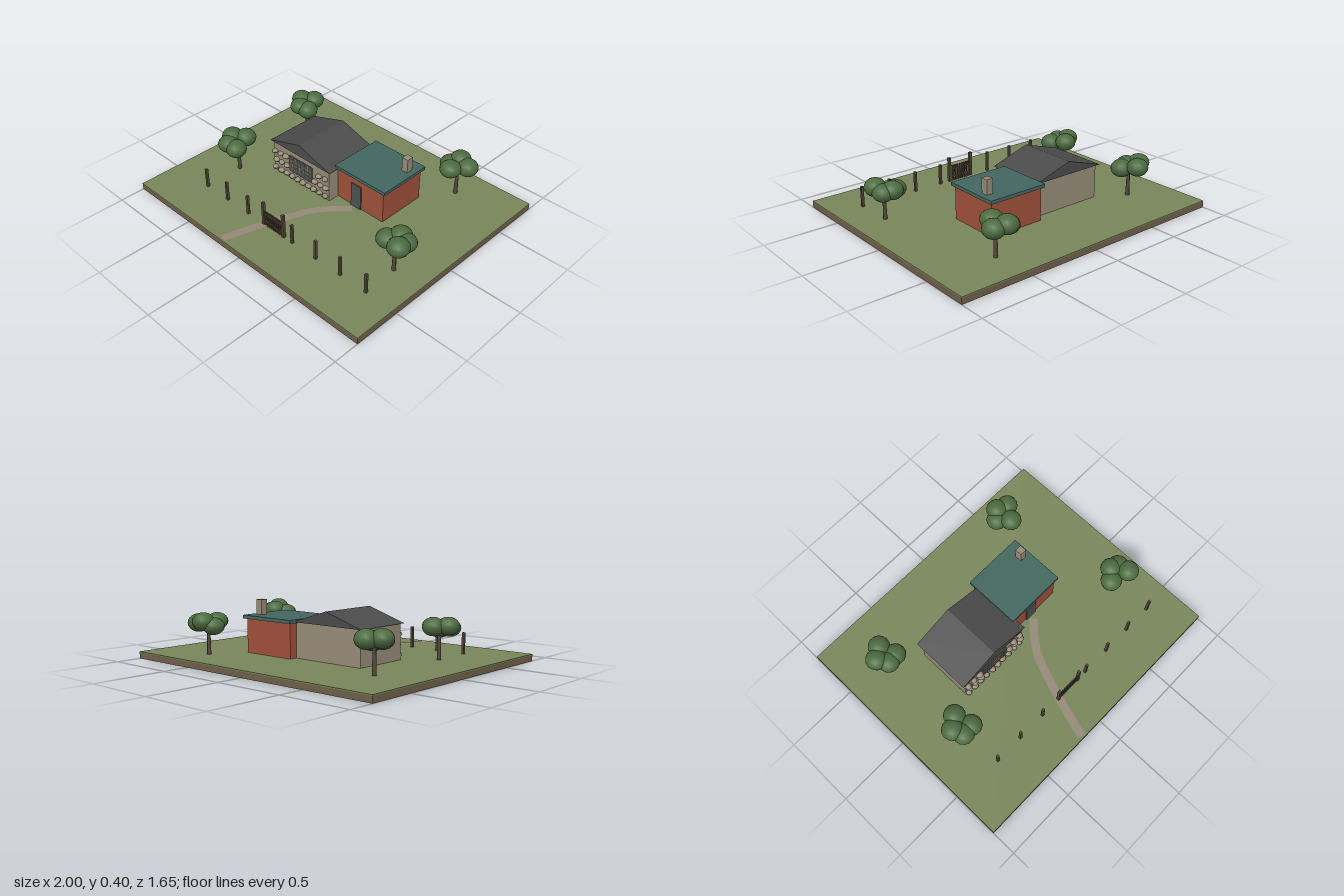
import * as THREE from 'three';

const mat = (name, color) => {
  const m = new THREE.MeshStandardMaterial({ color });
  m.name = name;
  return m;
};

export function createModel() {
  const grass = mat('grass', 0x78865a), soil = mat('soil', 0x6f5f4a);
  const stone = mat('stone', 0x968b78), slate = mat('slate', 0x4b4b4b);
  const brick = mat('brick', 0xa0503a), teal = mat('teal roof', 0x436660);
  const gravel = mat('gravel', 0x958878), leaf = mat('leaf', 0x4c6b40);
  const wood = mat('wood', 0x54473a), dark = mat('dark panel', 0x4a5252);

  const model = new THREE.Group();
  const G = 0.047; // ground level
  const group = (name) => {
    const g = new THREE.Group();
    g.name = name;
    model.add(g);
    return g;
  };
  const add = (name, geo, material, parent = model) => {
    const m = new THREE.Mesh(geo, material);
    m.name = name;
    parent.add(m);
    return m;
  };
  // box given by its min and max on each axis
  const box = (name, material, x0, x1, y0, y1, z0, z1, parent) => {
    const m = add(name, new THREE.BoxGeometry(x1 - x0, y1 - y0, z1 - z0), material, parent);
    m.position.set((x0 + x1) / 2, (y0 + y1) / 2, (z0 + z1) / 2);
    return m;
  };
  let seed = 7;
  const rand = () => (seed = (seed * 16807) % 2147483647) / 2147483647;

  // Ground slab with a grass layer
  box('groundBase', soil, -1, 1, 0, 0.04, -0.826, 0.826);
  box('lawn', grass, -1, 1, 0.04, G, -0.826, 0.826);

  // Winding path as a flat ribbon
  const curve = new THREE.CatmullRomCurve3([
    [0.205, 0.03], [0.11, 0.125], [0.03, 0.24], [-0.06, 0.46], [-0.17, 0.81],
  ].map(([x, z]) => new THREE.Vector3(x, G + 0.003, z)));
  const pos = [], idx = [];
  const steps = 24;
  for (let i = 0; i <= steps; i++) {
    const p = curve.getPoint(i / steps), t = curve.getTangent(i / steps);
    for (const s of [-0.028, 0.028]) pos.push(p.x + t.z * s, p.y, p.z - t.x * s);
    const a = i * 2;
    if (i < steps) idx.push(a, a + 2, a + 1, a + 1, a + 2, a + 3);
  }
  const ribbon = new THREE.BufferGeometry();
  ribbon.setAttribute('position', new THREE.Float32BufferAttribute(pos, 3));
  ribbon.setIndex(idx.reverse());
  ribbon.setAttribute('normal', new THREE.Float32BufferAttribute(pos.map((_, i) => (i % 3 === 1 ? 1 : 0)), 3));
  // make the ribbon face upward
  const [a, b, c] = ribbon.index.array.slice(0, 3);
  const v = (i) => new THREE.Vector3().fromArray(pos, i * 3);
  const up = v(b).sub(v(a)).cross(v(c).sub(v(a))).y;
  if (up < 0) ribbon.setIndex([...idx].reverse());
  add('path', ribbon, gravel);

  // Stone house with a gabled slate roof
  const house = group('stoneHouse');
  box('stoneWalls', stone, -0.49, 0.04, G, 0.284, -0.315, 0.075, house);
  const gable = new THREE.Shape([[-0.51, 0.28], [0.052, 0.28], [-0.228, 0.368]]
    .map(([x, y]) => new THREE.Vector2(x, y)));
  const roof = new THREE.ExtrudeGeometry(gable, { depth: 0.42, bevelEnabled: false });
  roof.translate(0, 0, -0.334);
  add('slateRoof', roof, slate, house);

  // Lattice window
  const [wx0, wx1, wy0, wy1] = [-0.335, -0.115, 0.112, 0.236];
  box('windowGlass', dark, wx0, wx1, wy0, wy1, 0.075, 0.081, house);
  for (let i = 1; i < 6; i++) {
    const x = wx0 + (wx1 - wx0) * i / 6;
    box('windowMullion', stone, x - 0.003, x + 0.003, wy0, wy1, 0.08, 0.085, house);
  }
  for (let i = 1; i < 4; i++) {
    const y = wy0 + (wy1 - wy0) * i / 4;
    box('windowBar', stone, wx0, wx1, y - 0.003, y + 0.003, 0.08, 0.085, house);
  }

  // Rounded fieldstones bulging from the front wall
  const pebble = new THREE.SphereGeometry(1, 10, 6);
  [0.076, 0.143, 0.21].forEach((y, row) => {
    for (let i = 0; i < 10; i++) {
      const x = -0.465 + i * 0.0525 + (row % 2) * 0.008 + (rand() - 0.5) * 0.01;
      if (row > 0 && x > wx0 - 0.015 && x < wx1 + 0.015) continue;
      const s = add('fieldstone', pebble, stone, house);
      s.position.set(x, y + (rand() - 0.5) * 0.006, 0.08);
      s.scale.set(0.021 + rand() * 0.006, 0.014 + rand() * 0.004, 0.02 + rand() * 0.009);
    }
  });

  // Brick wing with flat teal roof, door and chimney
  const wing = group('brickWing');
  box('brickWalls', brick, 0.04, 0.435, G, 0.278, -0.37, -0.008, wing);
  box('tealRoof', teal, 0.025, 0.455, 0.274, 0.297, -0.39, 0.006, wing);
  box('door', dark, 0.165, 0.25, G, 0.224, -0.008, 0.001, wing);
  box('chimney', stone, 0.37, 0.416, 0.29, 0.396, -0.304, -0.254, wing);

  // Fence posts and picket gate
  const fence = group('fence');
  const fz = 0.532;
  const post = (name, x, w, top) =>
    box(name, wood, x - w / 2, x + w / 2, G, top, fz - w / 2, fz + w / 2, fence);
  for (const x of [-0.658, -0.45, -0.243, 0.17, 0.377, 0.582, 0.79]) post('fencePost', x, 0.017, 0.188);
  for (const x of [-0.09, 0.092]) post('gatePost', x, 0.019, 0.221);
  for (let i = 0; i < 9; i++) post('gatePicket', -0.073 + i * 0.0185, 0.01, 0.16);
  for (const y of [0.08, 0.135]) box('gateRail', wood, -0.09, 0.092, y - 0.004, y + 0.004, fz - 0.003, fz + 0.003, fence);

  // Trees: base x, z, then crown blobs as x, y, z
  const blob = new THREE.SphereGeometry(1, 14, 10);
  const trees = [
    [-0.69, -0.43, [[-0.69, 0.265, -0.505], [-0.762, 0.27, -0.45], [-0.65, 0.24, -0.4], [-0.715, 0.25, -0.388]]],
    [-0.665, 0.245, [[-0.672, 0.265, 0.168], [-0.745, 0.27, 0.225], [-0.64, 0.24, 0.283], [-0.712, 0.25, 0.29]]],
    [0.575, -0.583, [[0.545, 0.27, -0.65], [0.5, 0.24, -0.605], [0.622, 0.255, -0.625], [0.557, 0.262, -0.525]]],
    [0.78, 0.275, [[0.762, 0.26, 0.203], [0.705, 0.24, 0.26], [0.825, 0.268, 0.3], [0.815, 0.25, 0.222]]],
  ];
  for (const [x, z, blobs] of trees) {
    const tree = group('tree');
    const trunk = new THREE.CylinderGeometry(0.01, 0.014, 0.19, 8);
    add('trunk', trunk, wood, tree).position.set(x, G + 0.095, z);
    blobs.forEach(([bx, by, bz], i) => {
      const m = add('foliage', blob, leaf, tree);
      m.position.set(bx, by, bz);
      m.scale.set(0.072, 0.06 - (i % 2) * 0.003, 0.072);
    });
  }
  return model;
}
